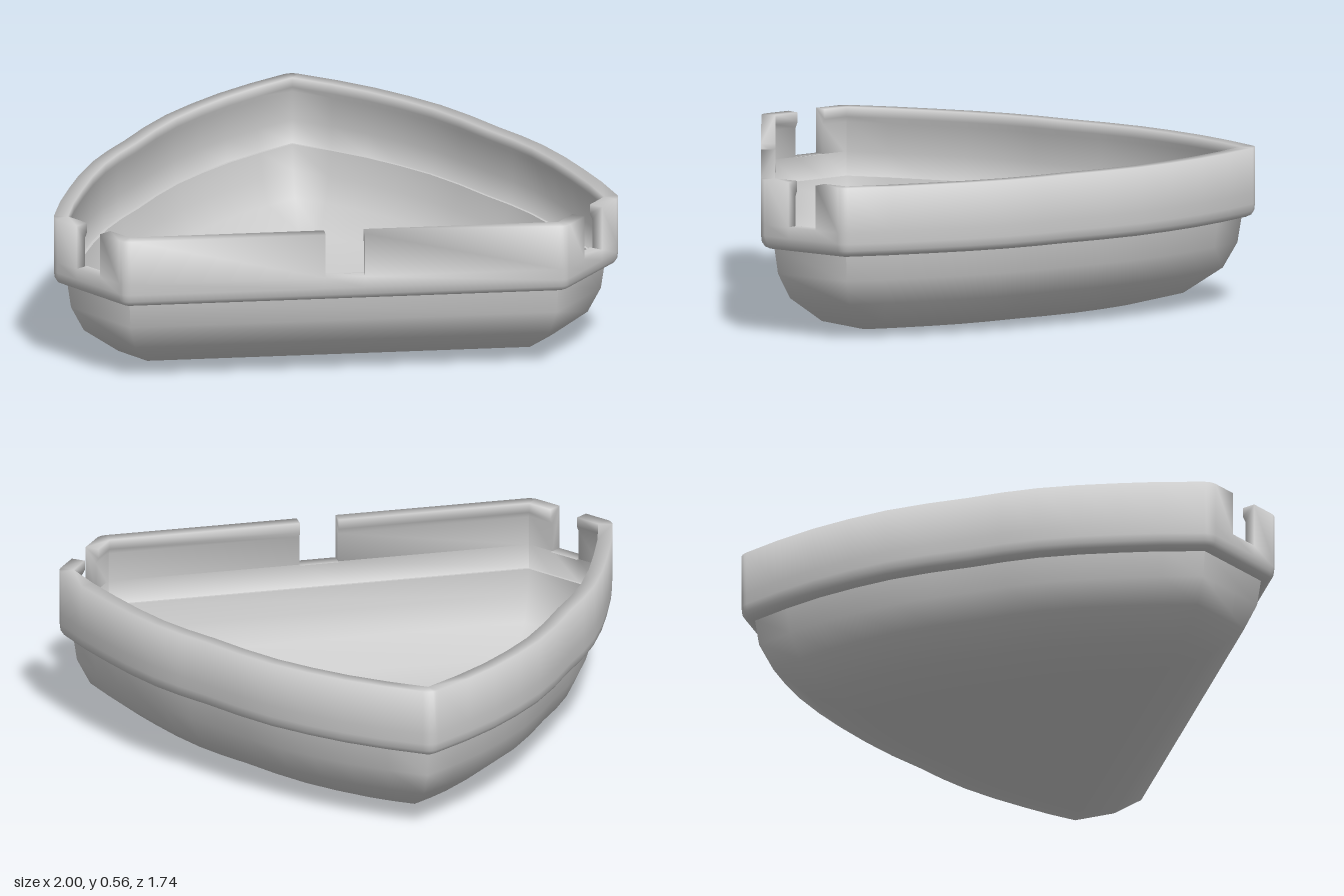
import * as THREE from 'three';
import { toCreasedNormals } from 'three/addons/utils/BufferGeometryUtils.js';

const material = new THREE.MeshStandardMaterial({ color: 0xcccccc, side: THREE.DoubleSide });
const NOTCH_FLOOR = 0.4, RIM_TOP = 0.56;

// Inner outline of the rim as [x, z]: back tip, curved side, chamfer corners; then mirrored
const half = [[0, -0.82], [0.245, -0.645], [0.45, -0.44], [0.62, -0.19], [0.755, 0.02],
  [0.865, 0.285], [0.95, 0.57], [0.76, 0.82]];
const outline = [...half, ...half.slice(1).reverse().map(([x, z]) => [-x, z])]
  .map(([x, z], i) => ({ x, z, notch: false, curved: i < 6 || i > 8 }));

// Adds notch edges in the middle of both chamfers and the front
function withNotches(points) {
  return points.flatMap((p, i) => {
    if (p.curved) return [p];
    const q = points[i + 1];
    const t = (i === 7 ? 0.07 : 0.06) / Math.hypot(q.x - p.x, q.z - p.z);
    const at = (s, notch) => ({ x: p.x + (q.x - p.x) * s, z: p.z + (q.z - p.z) * s, notch, curved: false });
    return [p, at(0.5 - t, true), at(0.5 + t, false)];
  });
}

// Offsets the outline by d: round corners outward, mitred corners inward; bows the curved sides
function offset(points, d) {
  const n = points.length;
  const normal = (a, b) => Math.atan2(-(b.x - a.x), b.z - a.z);
  const moved = points.flatMap((p, i) => {
    const a = normal(points[(i + n - 1) % n], p);
    let turn = normal(p, points[(i + 1) % n]) - a;
    turn = Math.atan2(Math.sin(turn), Math.cos(turn));
    const steps = turn > 0.45 ? 5 : 0;
    return Array.from({ length: steps + 1 }, (_, k) => {
      const round = steps && d > 0;
      const angle = a + turn * (round ? k / steps : 0.5);
      const r = round ? d : d / Math.cos(turn / 2);
      return {
        x: p.x + Math.cos(angle) * r, z: p.z + Math.sin(angle) * r,
        notch: p.notch && k === steps, curved: p.curved && k === steps,
      };
    });
  });
  return moved.flatMap((p, i) => {
    if (!p.curved) return [p];
    const q = moved[(i + 1) % moved.length], bow = 0.018;
    return [p, {
      x: (p.x + q.x) / 2 + (q.z - p.z) * bow, z: (p.z + q.z) / 2 - (q.x - p.x) * bow, notch: false,
    }];
  });
}

// Sweeps a profile of [offset, y] round the outline; a null offset is the centre
function sweep(points, profile, crease) {
  const positions = [];
  const ab = new THREE.Vector3(), ac = new THREE.Vector3();
  const tri = (a, b, c) => {
    if (ab.subVectors(b, a).cross(ac.subVectors(c, a)).length() < 1e-8) return;
    for (const v of [a, b, c]) positions.push(v.x, v.y, v.z);
  };
  const size = offset(points, 0).length;
  const rings = profile.map(([d, y]) => (d === null
    ? Array.from({ length: size }, () => ({ x: 0, z: 0.1, y }))
    : offset(points, d).map((p) => ({ ...p, y }))));
  for (let i = 0; i < size; i++) {
    const next = (i + 1) % size;
    const notch = rings[0][i].notch;
    const at = (j, k) => {
      const p = rings[j][k];
      return new THREE.Vector3(p.x, notch ? Math.min(p.y, NOTCH_FLOOR) : p.y, p.z);
    };
    for (let j = 0; j < rings.length - 1; j++) {
      tri(at(j, i), at(j + 1, i), at(j + 1, next));
      tri(at(j, i), at(j + 1, next), at(j, next));
    }
    if (!notch) continue;
    // Side faces of the notch, fanned from the outer top corner
    for (const [k, flip] of [[i, false], [next, true]]) {
      const face = rings.map((r) => r[k]).filter((p) => p.y >= NOTCH_FLOOR - 1e-6)
        .map((p) => new THREE.Vector3(p.x, p.y, p.z));
      const top = face[1], rest = [...face.slice(2), face[0]];
      for (let m = 0; m < rest.length - 1; m++) {
        if (flip) tri(top, rest[m + 1], rest[m]);
        else tri(top, rest[m], rest[m + 1]);
      }
    }
  }
  const geometry = new THREE.BufferGeometry();
  geometry.setAttribute('position', new THREE.Float32BufferAttribute(positions, 3));
  geometry.computeVertexNormals();
  return toCreasedNormals(geometry, crease);
}

export function createModel() {
  const group = new THREE.Group();
  group.name = 'tray';
  const add = (name, geometry) => {
    const mesh = new THREE.Mesh(geometry, material);
    mesh.name = name;
    group.add(mesh);
  };

  // Upright rim: rounded underside, notched wall and shallow snap groove inside
  add('rim', sweep(withNotches(outline), [
    [0, 0.312], [0.02, 0.312], [0.037, 0.32], [0.047, 0.335], [0.05, 0.36],
    [0.05, NOTCH_FLOOR], [0.05, RIM_TOP], [0, RIM_TOP], [0, 0.525], [0.01, 0.505],
    [0.01, NOTCH_FLOOR], [0.006, 0.316], [0, 0.312],
  ], 1.6));

  // Thin rounded bowl: underside out to the rim, then back down the inside
  add('bowl', sweep(outline, [
    [null, 0], [-0.313, 0], [-0.165, 0.04], [-0.052, 0.13], [-0.01, 0.22], [0.003, 0.315],
    [-0.006, 0.315], [-0.024, 0.225], [-0.068, 0.14], [-0.175, 0.058], [-0.313, 0.02], [null, 0.02],
  ], 1.3));
  return group;
}
